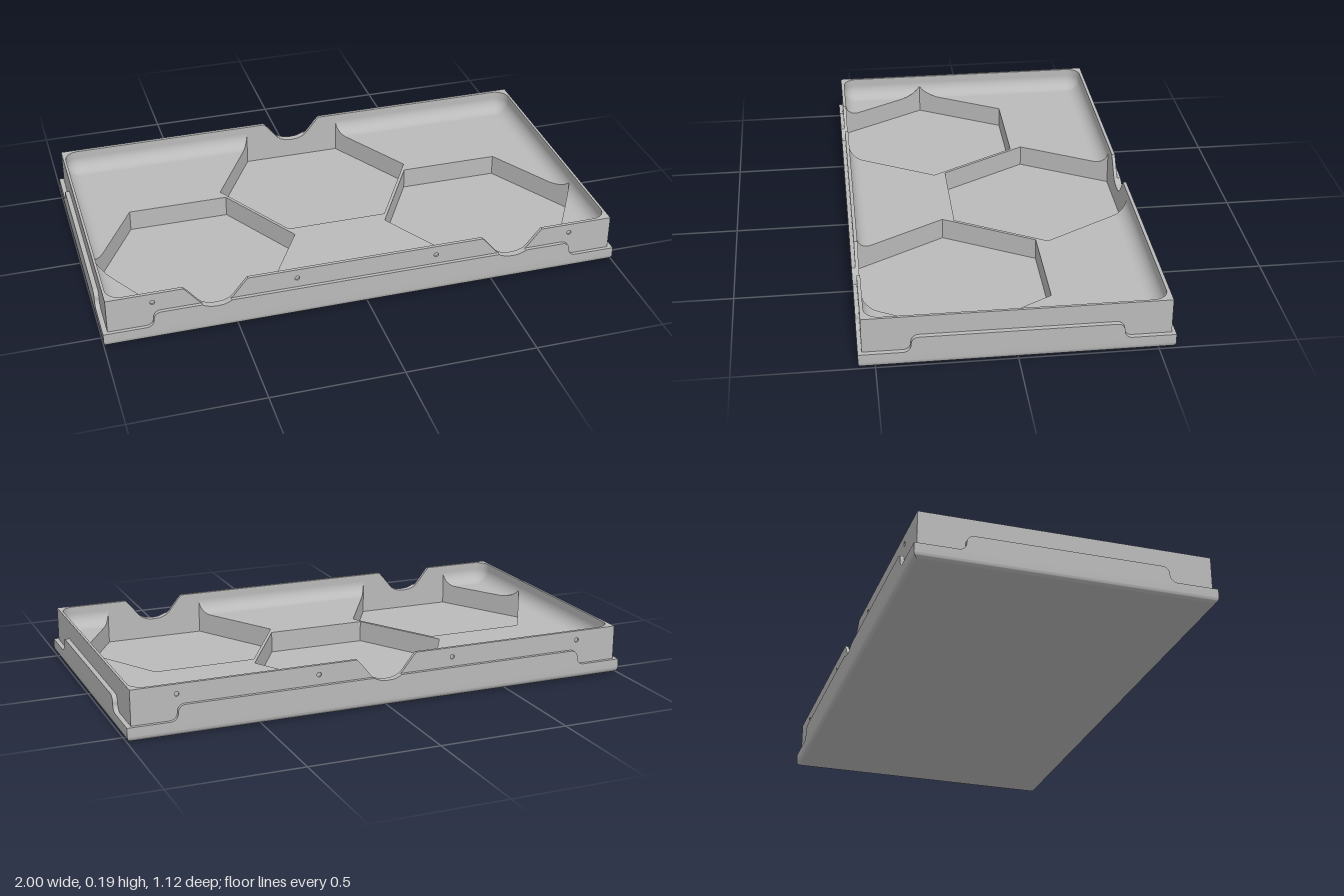
import * as THREE from 'three';
import { toCreasedNormals } from 'three/addons/utils/BufferGeometryUtils.js';

const OX = 1, OZ = 0.56;            // outer skirt half sizes
const WX = 0.982, WZ = 0.546;       // wall outside
const IX = 0.972, IZ = 0.533;       // wall inside
const TOP = 0.19, FLOOR = 0.105, POCKET = 0.022, R = 0.055;
const HEX_R = 0.393;
const HEXES = [[0, -0.193], [-0.577, 0.193], [0.577, 0.193]];
// right half of the thumb notch, from rim to lowest point
const NOTCH = [[0.12, 0.19], [0.102, 0.17], [0.066, 0.125], [0.05, 0.111], [0.026, 0.102], [0, 0.1]];

function bufferFrom(points, normals) {
  const g = new THREE.BufferGeometry();
  g.setAttribute('position', new THREE.Float32BufferAttribute(points.flat(), 3));
  if (normals) g.setAttribute('normal', new THREE.Float32BufferAttribute(normals.flat(), 3));
  else g.computeVertexNormals();
  return g;
}

const hexPoint = ([cx, cz], k) => [cx + HEX_R * Math.cos(k * Math.PI / 3), cz + HEX_R * Math.sin(k * Math.PI / 3)];

// offset from the flat floor into the rounded border, per axis
const intoBorder = (x, z) => [
  Math.sign(x) * Math.max(Math.abs(x) - (IX - R), 0),
  Math.sign(z) * Math.max(Math.abs(z) - (IZ - R), 0)];
function rise(x, z) {
  const [qx, qz] = intoBorder(x, z);
  return Math.sqrt(Math.max(R * R - qx * qx - qz * qz, 0));
}
const floorHeight = (x, z) => FLOOR + R - rise(x, z);

// keep the part of a polygon on one side of the line a-b
function clip(poly, a, b, sign) {
  const side = p => sign * ((b[0] - a[0]) * (p[2] - a[1]) - (b[1] - a[1]) * (p[0] - a[0]));
  const out = [];
  poly.forEach((p, i) => {
    const q = poly[(i + 1) % poly.length], s = side(p), t = side(q);
    if (s >= 0) out.push(p);
    if (s * t < 0) out.push(p.map((v, j) => v + (q[j] - v) * s / (s - t)));
  });
  return out;
}
function subtractHex(polys, hex) {
  const out = [];
  for (let poly of polys) {
    for (let k = 0; k < 6 && poly.length > 2; k++) {
      const a = hexPoint(hex, k), b = hexPoint(hex, k + 1);
      const outside = clip(poly, a, b, -1);
      if (outside.length > 2) out.push(outside);
      poly = clip(poly, a, b, 1);
    }
  }
  return out;
}

// raised floor with its rounded border, cut by the pockets
function floorGeometry() {
  const rings = [];
  for (let i = 0; i <= 10; i++) {
    const a = i / 10 * Math.PI / 2, rad = R * Math.cos(a), y = FLOOR + R - R * Math.sin(a), ring = [];
    [[1, 1], [-1, 1], [-1, -1], [1, -1]].forEach(([sx, sz], c) => {
      for (let j = 0; j <= 6; j++) {
        const t = (c + j / 6) * Math.PI / 2;
        ring.push([sx * (IX - R) + rad * Math.cos(t), y, sz * (IZ - R) + rad * Math.sin(t)]);
      }
    });
    rings.push(ring);
  }
  const x = IX - R, z = IZ - R;
  let polys = [[[-x, FLOOR, -z], [-x, FLOOR, z], [x, FLOOR, z], [x, FLOOR, -z]]];
  for (let i = 0; i < 10; i++) {
    const a = rings[i], b = rings[i + 1];
    a.forEach((p, j) => {
      const n = (j + 1) % a.length;
      polys.push([p, b[j], a[n]], [a[n], b[j], b[n]]);
    });
  }
  for (const hex of HEXES) polys = subtractHex(polys, hex);
  const pos = [], nor = [];
  for (const poly of polys) {
    for (let i = 1; i < poly.length - 1; i++) {
      const [p, q, r] = [poly[0], poly[i], poly[i + 1]];
      const ny = (q[2] - p[2]) * (r[0] - p[0]) - (q[0] - p[0]) * (r[2] - p[2]);
      for (const v of ny < 0 ? [p, r, q] : [p, q, r]) {
        const [qx, qz] = intoBorder(v[0], v[2]);
        const n = new THREE.Vector3(-qx, rise(v[0], v[2]), -qz).normalize();
        pos.push(v);
        nor.push(n.toArray());
      }
    }
  }
  return bufferFrom(pos, nor);
}

// upright pocket sides that follow the floor height; the tray wall closes the open edge
function pocketWallGeometry(hex) {
  const pos = [], open = hex[1] > 0 ? 1 : 4, N = 48;
  for (let k = 0; k < 6; k++) {
    if (k === open) continue;
    const a = hexPoint(hex, k), b = hexPoint(hex, k + 1);
    const at = i => {
      const t = (1 - Math.cos(Math.PI * i / N)) / 2;
      return [a[0] + (b[0] - a[0]) * t, a[1] + (b[1] - a[1]) * t];
    };
    for (let i = 0; i < N; i++) {
      const [x0, z0] = at(i), [x1, z1] = at(i + 1);
      const l0 = [x0, POCKET, z0], l1 = [x1, POCKET, z1];
      const u0 = [x0, floorHeight(x0, z0), z0], u1 = [x1, floorHeight(x1, z1), z1];
      pos.push(l0, l1, u0, l1, u1, u0);
    }
  }
  return bufferFrom(pos);
}

// base shell with a rounded lower edge
function baseGeometry() {
  const r = 0.022, pos = [], rings = [];
  const ring = (inset, y) => [[1, -1], [1, 1], [-1, 1], [-1, -1]].map(([sx, sz]) => [sx * (OX - inset), y, sz * (OZ - inset)]);
  for (let i = 0; i <= 8; i++) {
    const a = i / 8 * Math.PI / 2;
    rings.push(ring(r * (1 - Math.sin(a)), r * (1 - Math.cos(a))));
  }
  rings.push(ring(0, 0.05));
  const c = rings[0];
  pos.push(c[0], c[1], c[2], c[0], c[2], c[3]);
  for (let i = 0; i < rings.length - 1; i++) {
    for (let j = 0; j < 4; j++) {
      const n = (j + 1) % 4, lo = rings[i], up = rings[i + 1];
      pos.push(lo[j], up[j], lo[n], lo[n], up[j], up[n]);
    }
  }
  return toCreasedNormals(bufferFrom(pos), 0.5);
}

// top outline of a panel, left to right, with notches below the given height
function addNotches(shape, centres, height) {
  let half = NOTCH;
  if (height < TOP) half = [[0.055, height], ...NOTCH.filter(p => p[1] < height)];
  for (const c of centres) {
    half.forEach(([u, y]) => shape.lineTo(c - u, y));
    half.slice(0, -1).reverse().forEach(([u, y]) => shape.lineTo(c + u, y));
  }
}
function wallShape(half, notches, holes) {
  const s = new THREE.Shape();
  s.moveTo(-half, 0.02);
  s.lineTo(-half, TOP);
  addNotches(s, notches, TOP);
  s.lineTo(half, TOP);
  s.lineTo(half, 0.02);
  for (const x of holes) s.holes.push(new THREE.Path().absarc(x, 0.153, 0.009, 0, Math.PI * 2));
  return s;
}
function skirtShape(half, step, notches) {
  const s = new THREE.Shape(), lo = 0.056, hi = 0.115, r = 0.028;
  s.moveTo(-half, 0.05);
  s.lineTo(-half, lo);
  s.lineTo(-step - r, lo);
  s.absarc(-step - r, lo + r, r, -Math.PI / 2, 0, false);
  s.absarc(-step + r, hi - r, r, Math.PI, Math.PI / 2, true);
  addNotches(s, notches, hi);
  s.lineTo(step - r, hi);
  s.absarc(step - r, hi - r, r, Math.PI / 2, 0, true);
  s.absarc(step + r, lo + r, r, Math.PI, Math.PI * 1.5, false);
  s.lineTo(half, lo);
  s.lineTo(half, 0.05);
  return s;
}

export function createModel() {
  const group = new THREE.Group();
  const grey = new THREE.MeshStandardMaterial({ color: 0xbababa, side: THREE.DoubleSide });
  grey.name = 'grey plastic';
  const add = (name, geometry) => {
    const m = new THREE.Mesh(geometry, grey);
    m.name = name;
    group.add(m);
    return m;
  };
  // upright panel from distance d0 to d1, turned to its side of the tray
  const panel = (name, shape, d0, d1, turn) => add(name,
    new THREE.ExtrudeGeometry(shape, { depth: d1 - d0, bevelEnabled: false, curveSegments: 10 })
      .translate(0, 0, d0).rotateY(turn));

  add('base', baseGeometry());
  add('raisedFloor', floorGeometry());
  for (const hex of HEXES) {
    add('pocketWalls', pocketWallGeometry(hex));
    add('pocketFloor', new THREE.CircleGeometry(HEX_R, 6).rotateX(-Math.PI / 2).translate(hex[0], POCKET, hex[1]));
  }

  // long sides: wall, dimpled outer layer and skirt
  const dimples = [-0.812, -0.271, 0.271, 0.812];
  for (const [side, turn, notches] of [['front', 0, [-0.577, 0.577]], ['back', Math.PI, [0]]]) {
    panel(side + 'Wall', wallShape(WX, notches, []), IZ, WZ - 0.006, turn);
    panel(side + 'WallFace', wallShape(WX, notches, dimples), WZ - 0.006, WZ, turn);
    panel(side + 'Skirt', skirtShape(OX, 0.812, notches), WZ, OZ, turn);
  }
  // short sides
  for (const [side, turn] of [['left', Math.PI / 2], ['right', -Math.PI / 2]]) {
    panel(side + 'Wall', wallShape(IZ, [], []), IX, WX, turn);
    panel(side + 'Skirt', skirtShape(WZ, 0.375, []), WX, OX, turn);
  }

  // fills behind the rounded inner corners
  const corner = new THREE.Shape();
  corner.moveTo(R, 0);
  corner.lineTo(R, R);
  corner.lineTo(0, R);
  corner.absarc(0, 0, R, Math.PI / 2, 0, true);
  for (const sx of [-1, 1]) for (const sz of [-1, 1]) {
    const g = new THREE.ExtrudeGeometry(corner, { depth: TOP - FLOOR, bevelEnabled: false, curveSegments: 6 });
    // turned about y so that the fill points at its own corner
    g.rotateX(Math.PI / 2).rotateY(sx > 0 ? (sz > 0 ? 0 : Math.PI / 2) : (sz > 0 ? -Math.PI / 2 : Math.PI));
    add('cornerFill', g.translate(sx * (IX - R), TOP, sz * (IZ - R)));
  }
  return group;
}
